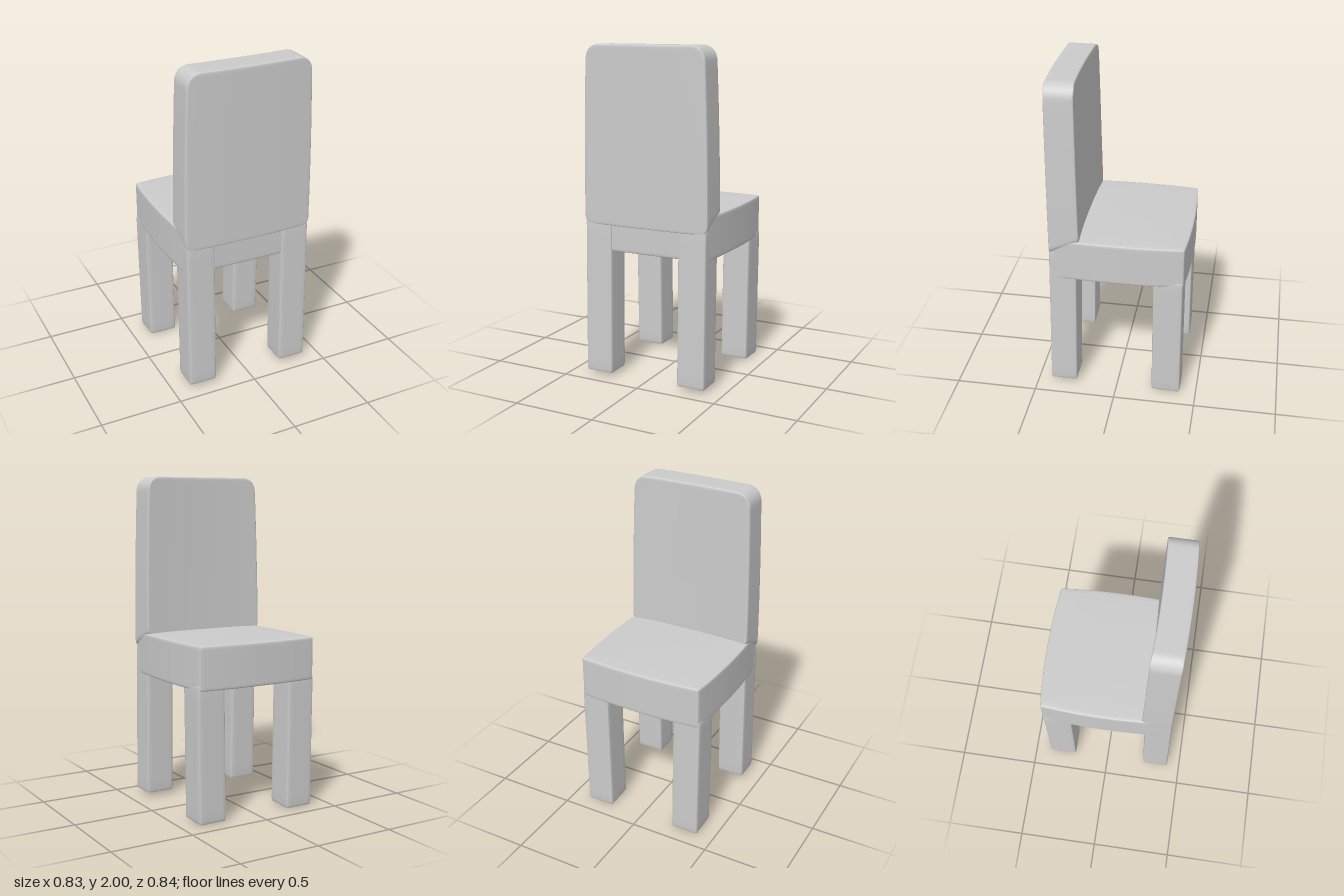
import * as THREE from 'three';
import { mergeVertices } from 'three/addons/utils/BufferGeometryUtils.js';

const material = new THREE.MeshStandardMaterial({ color: 0xcccccc });

// Box between two corners with edges rounded by r, then bent by the rule warp(p, u),
// where u holds the position inside the box from -1 to 1 on each axis.
function softBox(name, min, max, r, segments, warp) {
  const lo = new THREE.Vector3(...min), hi = new THREE.Vector3(...max);
  const half = hi.clone().sub(lo).multiplyScalar(0.5);
  const centre = lo.clone().add(half);
  const inner = half.clone().subScalar(r);
  let geo = new THREE.BoxGeometry(2, 2, 2, ...segments);
  geo.deleteAttribute('uv');
  geo.deleteAttribute('normal');
  const pos = geo.attributes.position;
  const p = new THREE.Vector3(), core = new THREE.Vector3(), u = new THREE.Vector3();
  const dense = (t) => Math.sin(t * Math.PI / 2); // crowd the grid towards the edges
  for (let i = 0; i < pos.count; i++) {
    p.fromBufferAttribute(pos, i);
    p.set(dense(p.x), dense(p.y), dense(p.z)).multiply(half);
    core.copy(p).clamp(inner.clone().negate(), inner);
    p.sub(core).setLength(r).add(core);
    u.copy(p).divide(half);
    p.add(centre);
    warp(p, u);
    pos.setXYZ(i, p.x, p.y, p.z);
  }
  geo = mergeVertices(geo, 1e-5);
  geo.computeVertexNormals();
  const mesh = new THREE.Mesh(geo, material);
  mesh.name = name;
  return mesh;
}

export function createModel() {
  const chair = new THREE.Group();
  chair.name = 'chair';

  // Seat cushion: bowed sides and front, slightly crowned top
  chair.add(softBox('seat', [-0.413, 0.785, -0.425], [0.413, 1.05, 0.392], 0.012, [24, 16, 24], (p, u) => {
    p.x -= 0.02 * u.x * u.z ** 2;
    if (u.z < 0) p.z -= 0.022 * u.z * u.x ** 2;
    if (u.y > 0) p.y -= 0.006 * u.y * Math.max(u.x ** 4, u.z ** 4);
  }));

  // Backrest: rounded outline, narrowing upwards, gently curved across its width
  const W = 0.405, bottom = 0.94, top = 2.0;
  chair.add(softBox('backrest', [-W, bottom, 0.215], [W, top, 0.398], 0.012, [36, 36, 14], (p, u) => {
    const upper = p.y > (top + bottom) / 2;
    const R = upper ? 0.085 : 0.05;
    const a = (Math.abs(p.x) - (W - R)) / R;
    const b = upper ? (p.y - (top - R)) / R : (bottom + R - p.y) / R;
    if (a > 0 && b > 0) {
      p.x = Math.sign(p.x) * (W - R + R * a * Math.sqrt(1 - b * b / 2));
      const k = R * b * Math.sqrt(1 - a * a / 2);
      p.y = upper ? top - R + k : bottom + R - k;
    }
    const h = (p.y - bottom) / (top - bottom);
    p.x *= 1 - 0.06 * h * h;
    p.z += 0.012 * (1 - u.x ** 2) + 0.012 * h * (1 - u.z) / 2;
    // underside climbs towards the seat
    if (h < 0.4) p.y += 0.09 * (1 - h / 0.4) * (1 - u.z) / 2;
  }));

  // Legs: the rear pair reaches up to the backrest and splays slightly backwards
  for (const side of [-1, 1]) {
    const name = side > 0 ? 'left' : 'right';
    const xs = [0.22 * side, 0.397 * side].sort((m, n) => m - n);
    chair.add(softBox(name + 'FrontLeg', [xs[0], 0, -0.4], [xs[1], 0.82, -0.222], 0.014, [10, 10, 10], (p, u) => {
      p.x += 0.004 * u.y * side;
      p.y += 0.006 * (1 - u.y) * (1 + u.z) / 4;
    }));
    chair.add(softBox(name + 'BackLeg', [xs[0], 0.022, 0.242], [xs[1], 0.97, 0.409], 0.014, [10, 10, 10], (p, u) => {
      p.z -= 0.009 * u.y;
    }));
  }
  return chair;
}
